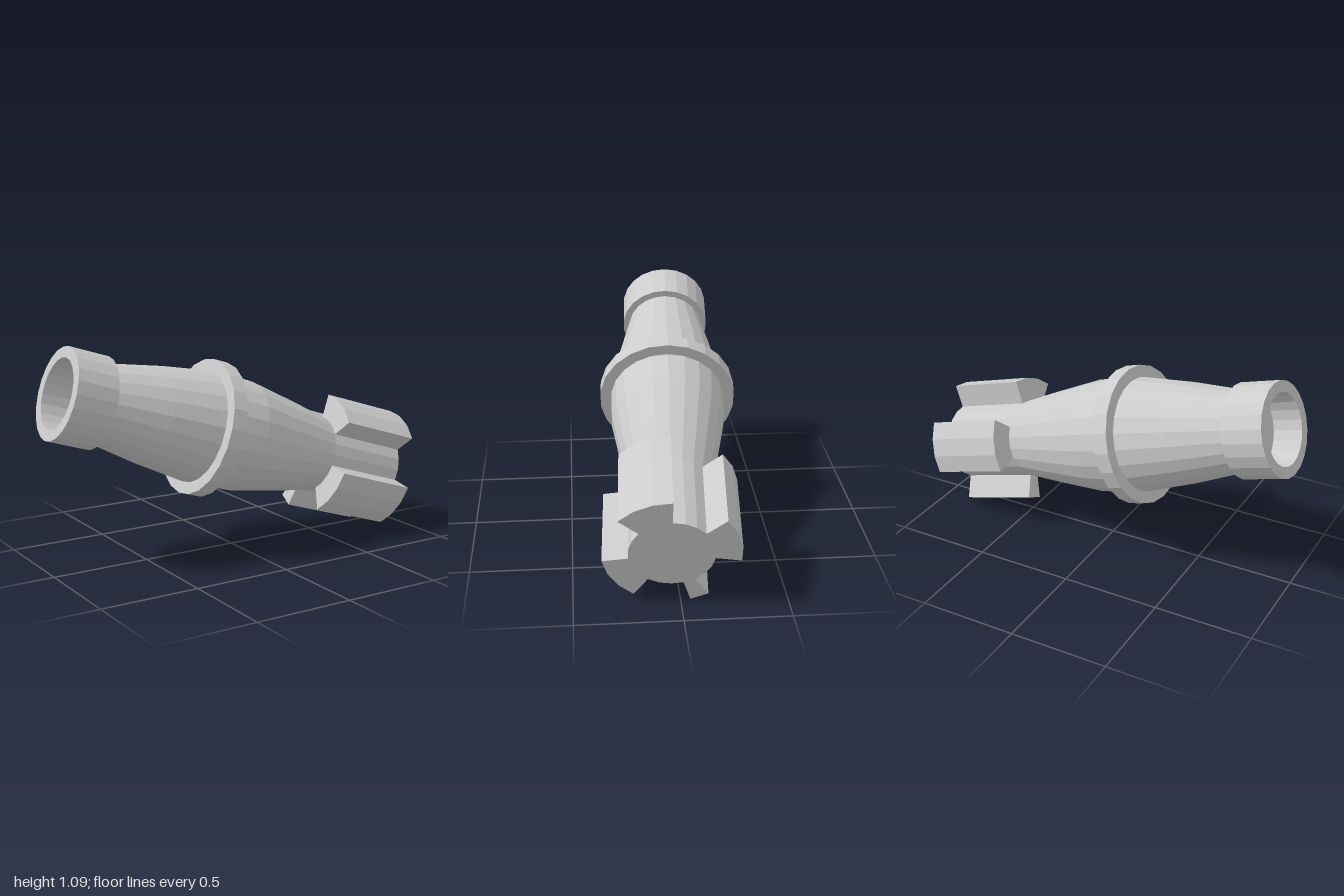
import * as THREE from 'three';

const SIDES = 22;
const STEP = (Math.PI * 2) / SIDES;
const START = THREE.MathUtils.degToRad(89.5);
const material = new THREE.MeshStandardMaterial({ color: 0xcccccc, flatShading: true });

// Turned part: profile given as [radius, distance along the axis]
function turned(name, profile) {
  const points = profile.map(([r, t]) => new THREE.Vector2(r, t));
  const mesh = new THREE.Mesh(new THREE.LatheGeometry(points, SIDES, -START), material);
  mesh.name = name;
  return mesh;
}

// Raised rib on the head, covering `count` facets from facet `first`
function tooth(first, count, inner, outer, from, to) {
  const at = (r, k) => {
    const a = START + k * STEP;
    return new THREE.Vector2(-r * Math.sin(a), -r * Math.cos(a));
  };
  const outline = [];
  for (let k = 0; k <= count; k++) outline.push(at(outer, first + k));
  for (let k = count; k >= 0; k--) outline.push(at(inner, first + k));
  const geometry = new THREE.ExtrudeGeometry(new THREE.Shape(outline), {
    depth: to - from, bevelEnabled: false,
  });
  geometry.rotateX(-Math.PI / 2).translate(0, from, 0);
  const mesh = new THREE.Mesh(geometry, material);
  mesh.name = 'headTooth';
  return mesh;
}

export function createModel() {
  const spindle = new THREE.Group();
  spindle.name = 'spindle';

  // Hollow socket at the upper end
  spindle.add(turned('socket', [
    [0, 0.15], [0.175, 0.15], [0.175, 0], [0.23, 0], [0.23, 0.21], [0.195, 0.21],
  ]));

  // Bulging barrel
  spindle.add(turned('barrel', [
    [0.195, 0.21], [0.249, 0.5], [0.287, 0.77], [0.291, 0.85],
    [0.286, 1.02], [0.238, 1.3], [0.2, 1.5],
  ]));

  // Collar around the middle
  spindle.add(turned('collar', [
    [0.27, 0.77], [0.347, 0.77], [0.347, 0.847], [0.27, 0.847],
  ]));

  // Head core and its ribs: three-facet ribs and gaps, with one narrow rib left over
  spindle.add(turned('headCore', [[0.2, 1.5], [0.2, 1.93], [0, 1.93]]));
  for (const [first, count] of [[3, 3], [9, 1], [13, 3], [19, 3]]) {
    spindle.add(tooth(first, count, 0.185, 0.322, 1.5, 1.93));
  }

  // Lay the spindle along its tilted axis
  const axis = new THREE.Vector3(0.952, -0.3, 0.054).normalize();
  const side = new THREE.Vector3(0, 0, 1).addScaledVector(axis, -axis.z).normalize();
  const across = new THREE.Vector3().crossVectors(axis, side);
  spindle.quaternion.setFromRotationMatrix(new THREE.Matrix4().makeBasis(across, axis, side));
  spindle.position.set(-0.93, 0.88, -0.057);

  const model = new THREE.Group();
  model.name = 'model';
  model.add(spindle);
  return model;
}
